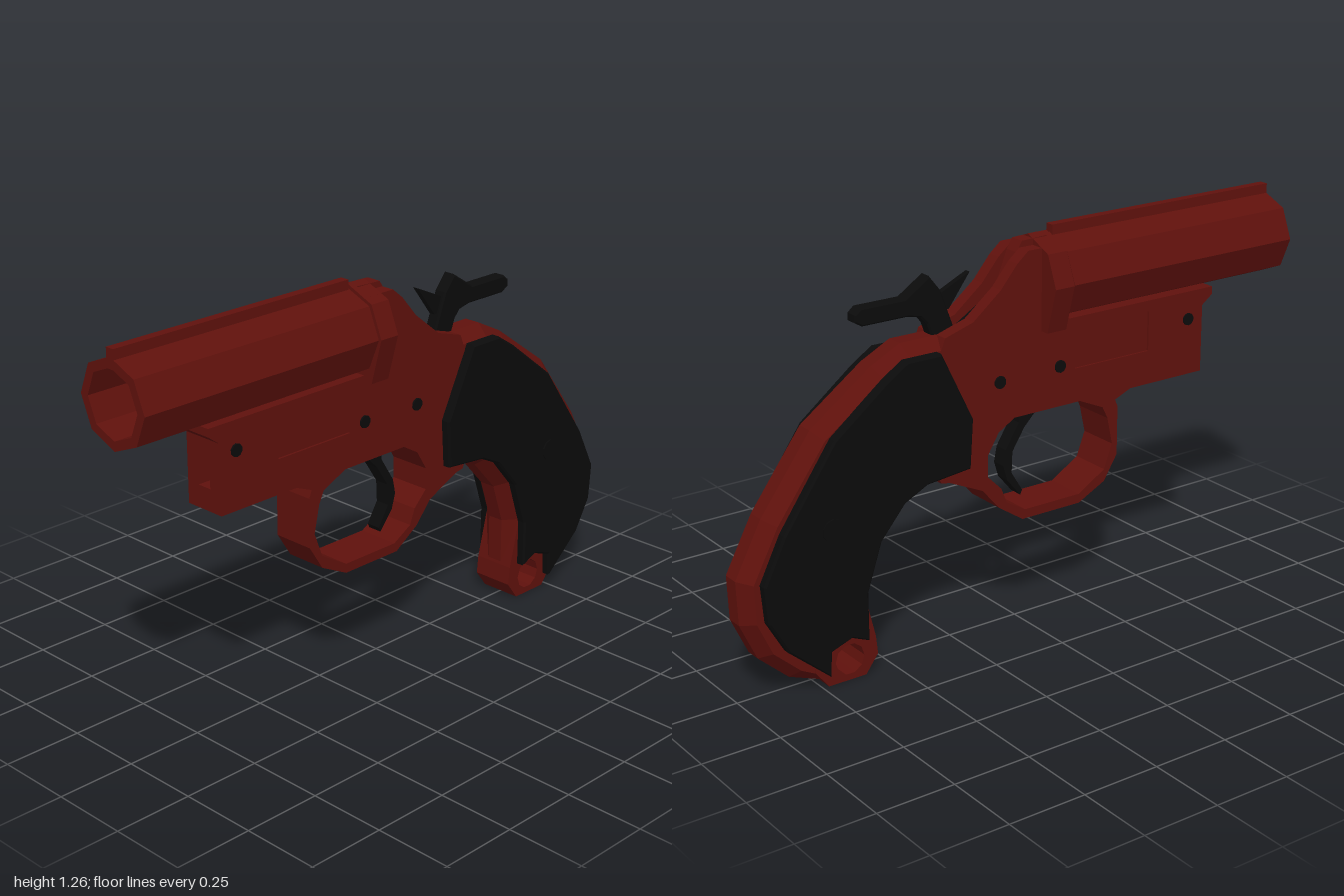
import * as THREE from 'three';

const red = new THREE.MeshStandardMaterial({ color: 0x5f110c, flatShading: true });
const black = new THREE.MeshStandardMaterial({ color: 0x0b0b0b, flatShading: true });

// Shape from point pairs, always wound counter-clockwise
function shapeOf(pts) {
  const v = pts.map(([x, y]) => new THREE.Vector2(x, y));
  return new THREE.Shape(THREE.ShapeUtils.isClockWise(v) ? v.reverse() : v);
}

// Regular polygon as point pairs
function ring(cx, cy, r, n, turn = 0) {
  return Array.from({ length: n }, (_, i) => {
    const a = turn + (i / n) * Math.PI * 2;
    return [cx + r * Math.cos(a), cy + r * Math.sin(a)];
  });
}

// Side-on outline extruded from z0 to z1, chamfered inside the outline
function slab(pts, z0, z1, { holes = [], bevel = 0, inset = bevel } = {}) {
  const shape = shapeOf(pts);
  shape.holes = holes.map(shapeOf);
  const geo = new THREE.ExtrudeGeometry(shape, {
    depth: z1 - z0 - 2 * bevel, bevelEnabled: bevel > 0, bevelThickness: bevel,
    bevelSize: inset, bevelOffset: -inset, bevelSegments: 1,
  });
  return geo.translate(0, 0, z0 + bevel);
}

// Cross-section (z, y) extruded along x
function bar(pts, x0, x1, holes = []) {
  return slab(pts, 0, x1 - x0, { holes }).rotateY(Math.PI / 2).translate(x0, 0, 0);
}

export function createModel() {
  const model = new THREE.Group();
  const add = (name, geo, mat) => {
    const mesh = new THREE.Mesh(geo, mat);
    mesh.name = name;
    model.add(mesh);
  };

  // Octagonal barrel with open bore, sighting rib and breech collar
  const up = Math.PI / 2;
  add('barrel', bar(ring(0, 1.1, 0.135, 8, up), -1, -0.125, [ring(0, 1.1, 0.105, 8, up)]), red);
  add('barrelNeck', bar(ring(0, 1.1, 0.12, 8, up), -0.16, -0.1), red);
  add('sightRib', new THREE.BoxGeometry(0.87, 0.06, 0.03).translate(-0.565, 1.23, 0), red);
  add('breechCollar', bar([
    [0, 1.243], [-0.1, 1.2], [-0.14, 1.1], [-0.1, 0.955], [0.1, 0.955], [0.14, 1.1], [0.1, 1.2],
  ], -0.12, -0.05), red);

  // Frame: three layers, the middle one slotted for the hammer and at the front
  const guardHole = [
    [-0.31, 0.62], [-0.29, 0.66], [-0.2, 0.7], [0.05, 0.7], [0.11, 0.665], [0.15, 0.6], [0.15, 0.53],
    [0.1, 0.48], [0.08, 0.43], [0.01, 0.39], [-0.2, 0.39], [-0.3, 0.45], [-0.33, 0.53],
  ];
  const recess = [[-0.47, 0.81], [-0.18, 0.81], [-0.18, 0.94], [-0.47, 0.94]];
  const lower = [
    [0.34, 0.9], [0.34, 0.6], [0.32, 0.55], [0.29, 0.545], [0.17, 0.49], [0.11, 0.42], [0.02, 0.36],
    [-0.2, 0.36], [-0.3, 0.41], [-0.35, 0.49], [-0.35, 0.65], [-0.34, 0.675], [-0.4, 0.7], [-0.69, 0.7],
  ];
  const front = [[-0.69, 0.92], [-0.73, 0.95], [-0.73, 0.975], [-0.1, 0.975]];
  const sideTop = [[-0.1, 1.213], [0, 1.213], [0.04, 1.18], [0.1, 1.11], [0.2, 1.03], [0.3, 1]];
  const slotTop = [[-0.1, 1.235], [-0.01, 1.232], [0.01, 1.2], [0.05, 1.1], [0.15, 0.98], [0.25, 0.94], [0.3, 1]];
  const slotFront = [[-0.69, 0.77], [-0.62, 0.77], [-0.62, 0.86], [-0.69, 0.86]];
  const side = [...lower, ...front, ...sideTop];
  const core = [...lower, ...slotFront, ...front, ...slotTop];
  add('frameLeftPlate', slab(side, 0.025, 0.07, { holes: [guardHole, recess] }), red);
  add('frameRightPlate', slab(side, -0.07, -0.025, { holes: [guardHole, recess] }), red);
  add('frameCore', slab(core, -0.025, 0.025, { holes: [guardHole] }), red);
  add('recessedPanel', new THREE.BoxGeometry(0.29, 0.13, 0.126).translate(-0.325, 0.875, 0), red);

  // Curved grip with chamfered edges
  add('grip', slab([
    [0.24, 0.57], [0.24, 0.98], [0.3, 1], [0.43, 1], [0.53, 0.95], [0.74, 0.8], [0.91, 0.57], [1, 0.4],
    [0.995, 0.26], [0.94, 0.14], [0.84, 0.05], [0.73, 0.008], [0.73, 0.12], [0.66, 0.145], [0.565, 0.13],
    [0.565, 0.28], [0.52, 0.415], [0.425, 0.52], [0.36, 0.545], [0.3, 0.548],
  ], -0.069, 0.069, { bevel: 0.042, inset: 0.036 }), red);

  // Lanyard eye at the butt, tapering into the grip
  add('lanyardEye', slab([
    [0.6, 0.27], [0.563, 0.12], [0.557, 0.06], [0.6, 0.002], [0.73, 0.002], [0.775, 0.06], [0.775, 0.17], [0.68, 0.2],
  ], -0.07, 0.07, { holes: [ring(0.655, 0.07, 0.05, 10)] }), red);

  // Side fittings, repeated on both faces
  const panel = [
    [0.33, 0.965], [0.45, 0.965], [0.52, 0.92], [0.7, 0.78], [0.875, 0.53], [0.945, 0.39], [0.935, 0.27],
    [0.875, 0.165], [0.735, 0.045], [0.73, 0.125], [0.66, 0.15], [0.6, 0.125], [0.6, 0.28], [0.55, 0.43],
    [0.465, 0.53], [0.385, 0.57], [0.23, 0.585], [0.22, 0.74],
  ];
  const pins = [[-0.63, 0.885], [-0.12, 0.83], [0.105, 0.825]];
  for (const s of [1, -1]) {
    const label = s > 0 ? 'Left' : 'Right';
    const disc = (r, x, y, z) => new THREE.CylinderGeometry(r, r, 0.02, 10).rotateX(up).translate(x, y, s * z);
    // Built about its mid-plane, then moved out to the side
    add('gripPanelBase' + label, slab(panel, -0.01, 0.01).translate(0, 0, s * 0.078), black);
    add('gripPanel' + label, slab(panel, -0.012, 0.012, { bevel: 0.006 }).translate(0, 0, s * 0.087), black);
    add('gripMedallion' + label, disc(0.036, 0.715, 0.51, 0.093), black);
    for (const [x, y] of pins) add('pin' + label, disc(0.02, x, y, 0.066), black);
  }

  // Hammer with thumb spur and striking point, its base filling the slot
  add('hammer', slab([
    [0.2, 0.93], [0.29, 0.93], [0.315, 1], [0.328, 1.035], [0.35, 1.06], [0.395, 1.07], [0.55, 1.07],
    [0.575, 1.085], [0.575, 1.108], [0.555, 1.125], [0.405, 1.125], [0.32, 1.18], [0.28, 1.13], [0.235, 1.01],
  ], -0.022, 0.022, { bevel: 0.005 }), black);
  add('hammerBase', slab([
    [0.01, 1.1], [0.1, 1.06], [0.2, 1], [0.28, 0.97], [0.28, 0.9], [0.01, 0.9],
  ], -0.024, 0.024), black);
  add('hammerPoint', slab([[0.17, 1.165], [0.245, 1.065], [0.3, 1.06], [0.29, 1.11]], -0.01, 0.01), black);

  // Curved trigger
  add('trigger', slab([
    [-0.1, 0.72], [-0.02, 0.64], [0.025, 0.57], [0.028, 0.5], [-0.012, 0.435], [-0.005, 0.42],
    [0.045, 0.48], [0.06, 0.53], [0.05, 0.58], [0, 0.66], [0, 0.72],
  ], -0.024, 0.024), black);

  return model;
}
